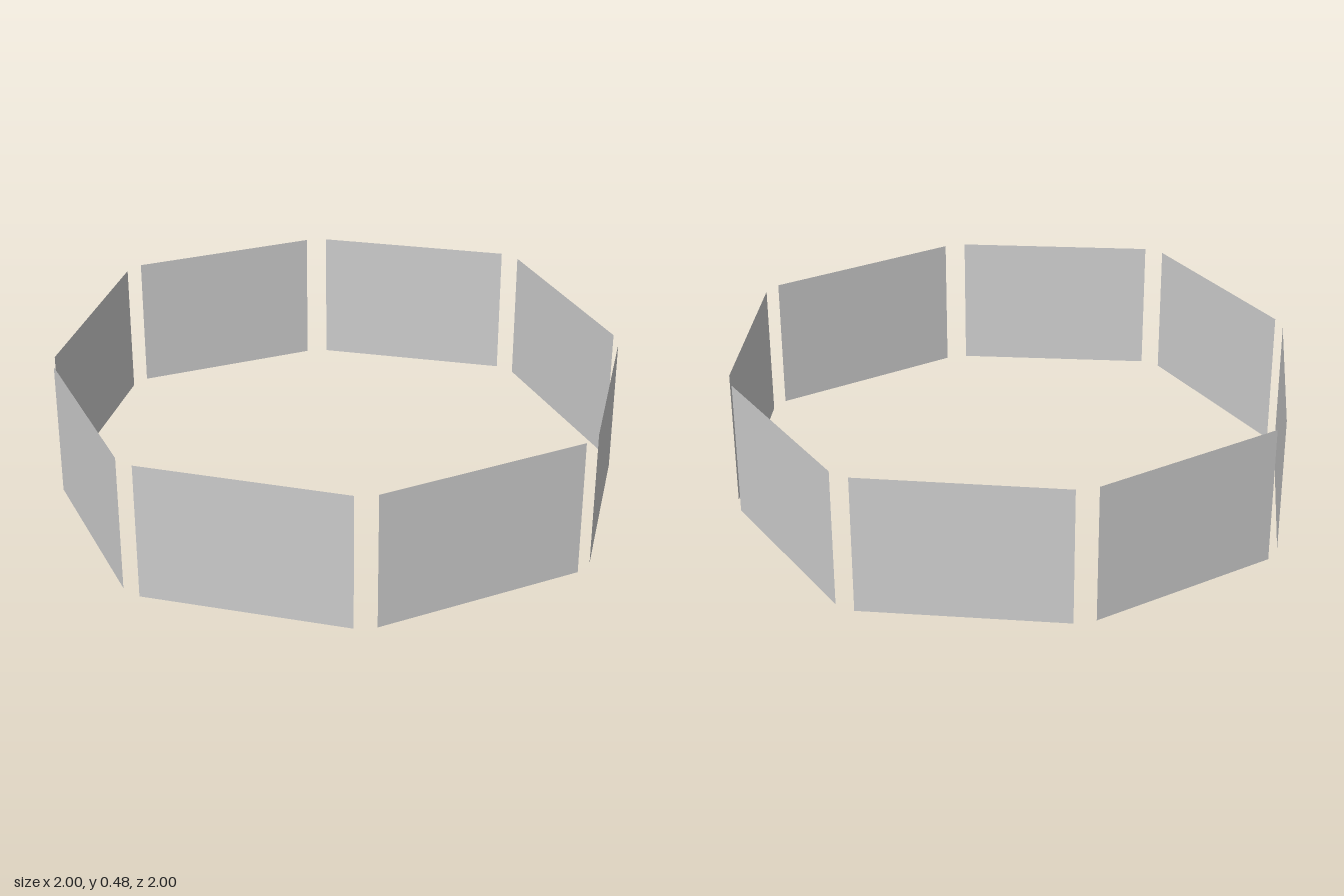
import * as THREE from 'three';

// Ends of the eight panels on the ground plan: [x, z] to [x, z]
const CORNER_IN = 0.645, CORNER_OUT = 0.697;
const GAP_X = [-0.007, 0.061];  // opening in the front and back
const GAP_Z = [-0.042, 0.029];  // opening in the left and right sides
const CORNER_Y = 0, AXIS_Y = 0.008, HEIGHT = 0.471;

// Upright sheet without thickness, running from a corner gap to a side's middle gap
function panel(name, corner, middle, material) {
  const geometry = new THREE.PlaneGeometry(1, 1);
  const p = geometry.attributes.position;
  for (let i = 0; i < p.count; i++) {
    const t = p.getX(i) + 0.5;
    const up = p.getY(i) + 0.5;
    p.setXYZ(i,
      THREE.MathUtils.lerp(corner[0], middle[0], t),
      THREE.MathUtils.lerp(CORNER_Y, AXIS_Y, t) + up * HEIGHT,
      THREE.MathUtils.lerp(corner[1], middle[1], t));
  }
  geometry.computeVertexNormals();
  const mesh = new THREE.Mesh(geometry, material);
  mesh.name = name;
  return mesh;
}

export function createModel() {
  const group = new THREE.Group();
  group.name = 'panelRing';
  const material = new THREE.MeshStandardMaterial({ color: 0xcccccc, side: THREE.DoubleSide });

  for (const sx of [-1, 1]) {
    for (const sz of [-1, 1]) {
      const place = (sz > 0 ? 'front' : 'back') + (sx > 0 ? 'Left' : 'Right');
      const gx = GAP_X[sx > 0 ? 1 : 0];
      const gz = GAP_Z[sz > 0 ? 1 : 0];
      // Panel facing mostly front or back
      group.add(panel(place + 'EndPanel', [sx * CORNER_IN, sz * CORNER_OUT], [gx, sz], material));
      // Panel facing mostly sideways
      group.add(panel(place + 'SidePanel', [sx * CORNER_OUT, sz * CORNER_IN], [sx, gz], material));
    }
  }

  // Turn the faces outward
  for (const mesh of group.children) {
    const { position, normal } = mesh.geometry.attributes;
    if (position.getX(0) * normal.getX(0) + position.getZ(0) * normal.getZ(0) < 0) {
      mesh.geometry.index.array.reverse();
      mesh.geometry.computeVertexNormals();
    }
  }
  return group;
}
